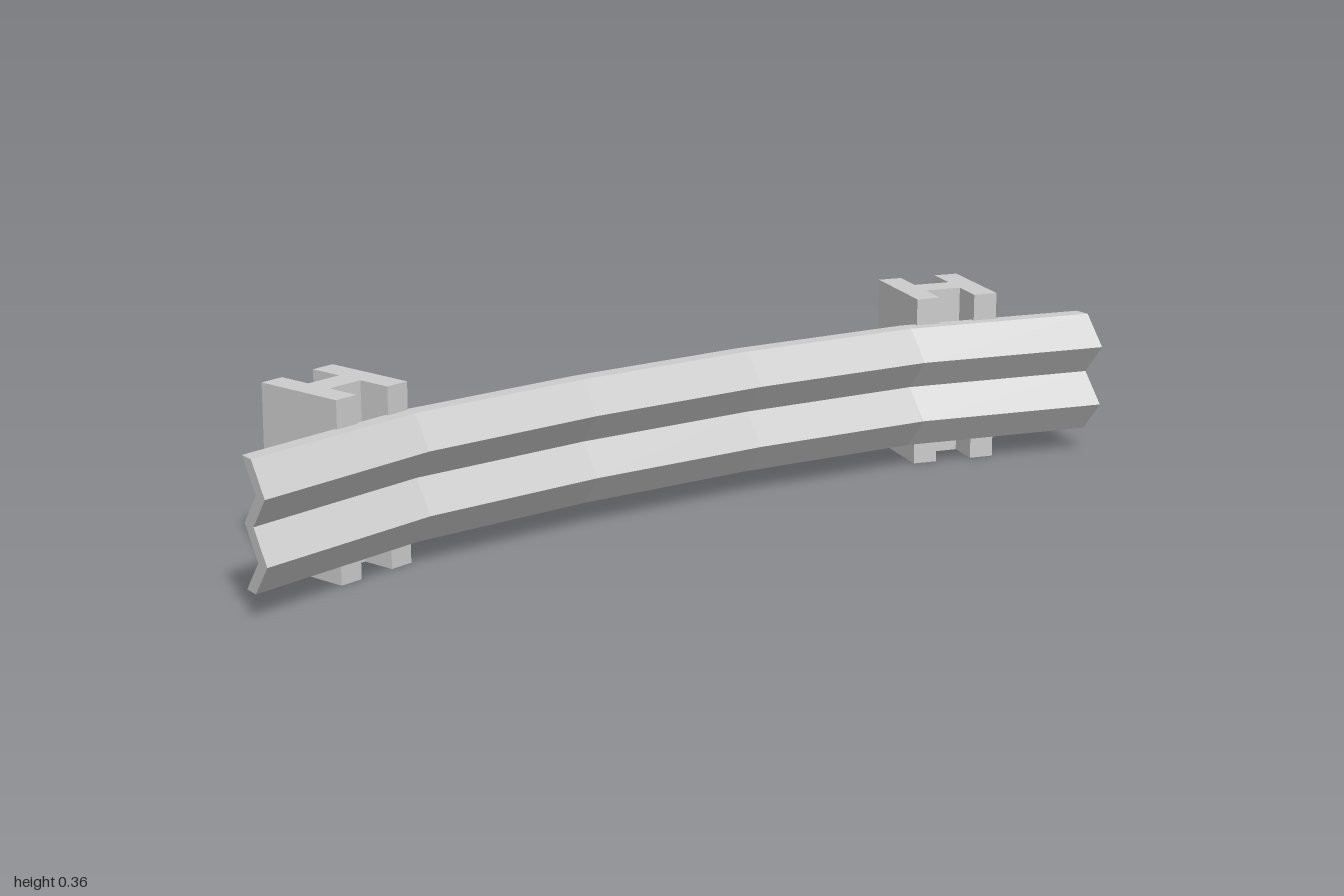
import * as THREE from 'three';

const material = new THREE.MeshStandardMaterial({ color: 0xcccccc, flatShading: true });

// W-beam rail: zigzag section extruded in five straight segments, then bent
function createRail() {
  const rows = [0.05, 0.113, 0.177, 0.24, 0.304];
  const front = rows.map((y, i) => new THREE.Vector2(i % 2 ? 0.05 : 0.001, y));
  const back = rows.map((y, i) => new THREE.Vector2(i % 2 ? 0.015 : -0.034, y)).reverse();
  const geometry = new THREE.ExtrudeGeometry(new THREE.Shape([...front, ...back]), {
    depth: 2, steps: 5, bevelEnabled: false,
  });
  geometry.rotateY(-Math.PI / 2).translate(1, 0, 0);

  // Forward offset of each joint along the curve
  const pos = geometry.attributes.position;
  for (let i = 0; i < pos.count; i++) {
    const x = Math.abs(pos.getX(i));
    const offset = x > 0.8 ? 0.142 : x > 0.4 ? 0.034 : 0;
    pos.setZ(i, pos.getZ(i) + offset);
  }
  geometry.computeVertexNormals();
  const rail = new THREE.Mesh(geometry, material);
  rail.name = 'rail';
  return rail;
}

// H-section post: two flanges across the rail joined by a web
function createPostGeometry() {
  const w = 0.092, gap = 0.04, d = 0.1015, web = 0.029;
  const outline = [
    [-w, -d], [-gap, -d], [-gap, -web], [gap, -web], [gap, -d], [w, -d],
    [w, d], [gap, d], [gap, web], [-gap, web], [-gap, d], [-w, d],
  ].map(([x, y]) => new THREE.Vector2(x, y));
  const geometry = new THREE.ExtrudeGeometry(new THREE.Shape(outline), {
    depth: 0.36, bevelEnabled: false,
  });
  return geometry.rotateX(-Math.PI / 2);
}

export function createModel() {
  const model = new THREE.Group();
  model.name = 'guardRail';
  model.add(createRail());

  // Posts stand square to the angled end segments
  const postGeometry = createPostGeometry();
  const posts = [
    ['leftPost', 0.745, -0.056, -1],
    ['rightPost', -0.715, -0.068, 1],
  ];
  for (const [name, x, z, side] of posts) {
    const post = new THREE.Mesh(postGeometry, material);
    post.name = name;
    post.position.set(x, 0, z);
    post.rotation.y = side * THREE.MathUtils.degToRad(15);
    model.add(post);
  }
  return model;
}
